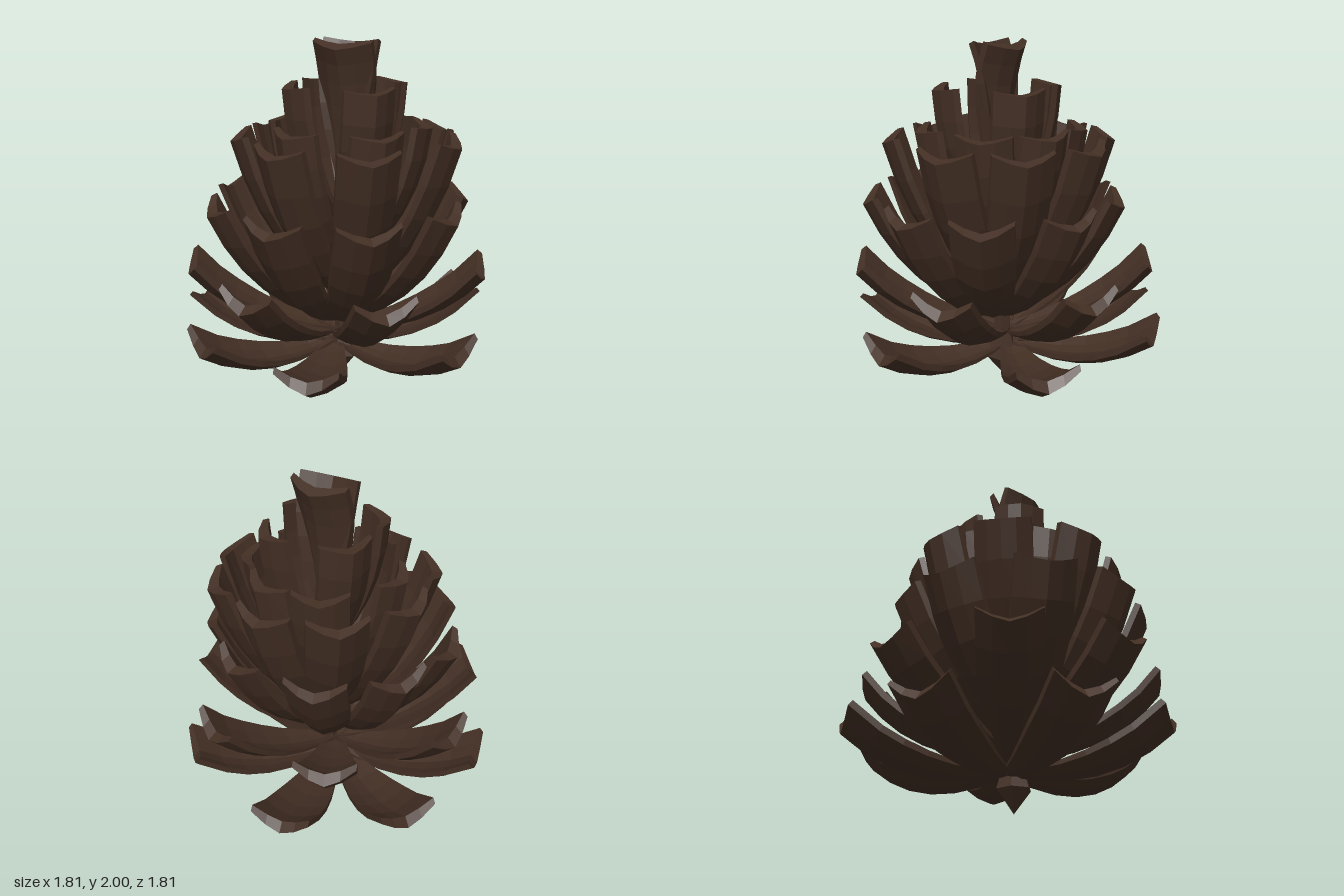
import * as THREE from 'three';

const SEGMENTS = 6;   // steps along a scale
const ACROSS = 4;     // facets across a scale

// Whorls from bottom to top: centre [x, z], then base, bend and tip as [radius, height], half width
// at the tip, how far the tip corners reach forward, and the azimuth of every scale (+x towards +z).
const whorls = [
  { centre: [0, 0], base: [0, 0.2], bend: [0.52, 0.07], tip: [0.88, 0.36], half: 0.165, reach: 0.06, angles: [15, 72, 118, 169, 213, 259, 312] },
  { centre: [0.01, 0.01], base: [0, 0.27], bend: [0.56, 0.35], tip: [0.84, 0.71], half: 0.165, reach: 0.05, angles: [348, 45, 97, 142, 190, 243, 293] },
  { centre: [0.04, 0.06], base: [0, 0.36], bend: [0.5, 0.55], tip: [0.72, 1.1], half: 0.165, reach: 0.04, angles: [6, 49, 91, 131, 176, 210, 248, 289, 330] },
  { centre: [0.07, 0], base: [0, 0.46], bend: [0.46, 0.8], tip: [0.62, 1.45], half: 0.16, reach: 0.03, angles: [354, 52, 101, 149, 190, 232, 272, 313] },
  { centre: [0.06, 0], base: [0, 0.62], bend: [0.4, 1.0], tip: [0.45, 1.52], half: 0.15, reach: 0.02, angles: [338, 38, 106, 177, 243, 289] },
  { centre: [0.075, 0], base: [0, 0.9], bend: [0.32, 1.25], tip: [0.34, 1.74], half: 0.145, reach: 0.02, angles: [40, 137, 215, 303] },
  { centre: [0.07, 0.01], base: [0.02, 1.15], bend: [0.01, 1.72], tip: [0.12, 1.96], half: 0.17, reach: 0, angles: [88, 273] },
];

// A curved scale growing along +x: crescent cross-sections swept up the bend
function scaleGeometry({ base, bend, tip, half, reach }) {
  const curve = new THREE.QuadraticBezierCurve(
    new THREE.Vector2(...base), new THREE.Vector2(...bend), new THREE.Vector2(...tip));
  const ring = 2 * (ACROSS + 1);
  const positions = [];
  const index = [];
  const quad = (a, b, c, d) => index.push(a, b, c, a, c, d);

  for (let i = 0; i <= SEGMENTS; i++) {
    const t = i / SEGMENTS;
    const p = curve.getPoint(t);
    const d = curve.getTangent(t);
    const grow = 0.25 + 0.75 * Math.sin(Math.min(t / 0.8, 1) * Math.PI / 2);
    for (let j = 0; j < ring; j++) {
      const outer = j <= ACROSS;
      const k = outer ? j : ring - 1 - j;
      const u = (2 * k) / ACROSS - 1;
      const bow = Math.abs(u) ** 1.5;
      const n = grow * ((outer ? 0.03 : -0.035) - bow * (outer ? 0.085 : 0.055));
      const s = i === SEGMENTS ? reach * bow : 0;
      positions.push(p.x + d.y * n + d.x * s, p.y - d.x * n + d.y * s, u * half * grow);
    }
  }
  for (let i = 0; i < SEGMENTS; i++) {
    for (let j = 0; j < ring; j++) {
      const a = i * ring + j;
      const b = i * ring + ((j + 1) % ring);
      quad(a, a + ring, b + ring, b);
    }
  }
  // blunt tip
  const end = SEGMENTS * ring;
  for (let j = 0; j < ACROSS; j++) {
    quad(end + j, end + ring - 1 - j, end + ring - 2 - j, end + j + 1);
  }
  const geometry = new THREE.BufferGeometry();
  geometry.setAttribute('position', new THREE.Float32BufferAttribute(positions, 3));
  geometry.setIndex(index);
  geometry.computeVertexNormals();
  return geometry;
}

export function createModel() {
  const model = new THREE.Group();
  model.name = 'pineCone';
  const bark = new THREE.MeshStandardMaterial({ color: 0x432f24, flatShading: true });

  // pointed core that carries the scales
  const profile = [[0, 0], [0.1, 0.13], [0.08, 0.2], [0.05, 0.3], [0.05, 1.5], [0, 1.7]];
  const core = new THREE.Mesh(
    new THREE.LatheGeometry(profile.map(([r, y]) => new THREE.Vector2(r, y)), 6), bark);
  core.name = 'core';
  core.position.x = 0.05;
  model.add(core);

  // whorls of scales
  whorls.forEach((whorl, level) => {
    const group = new THREE.Group();
    group.name = `scaleWhorl${level + 1}`;
    group.position.set(whorl.centre[0], 0, whorl.centre[1]);
    const geometry = scaleGeometry(whorl);
    whorl.angles.forEach((angle) => {
      const scale = new THREE.Mesh(geometry, bark);
      scale.name = 'scale';
      scale.rotation.y = -THREE.MathUtils.degToRad(angle);
      group.add(scale);
    });
    model.add(group);
  });

  return model;
}
